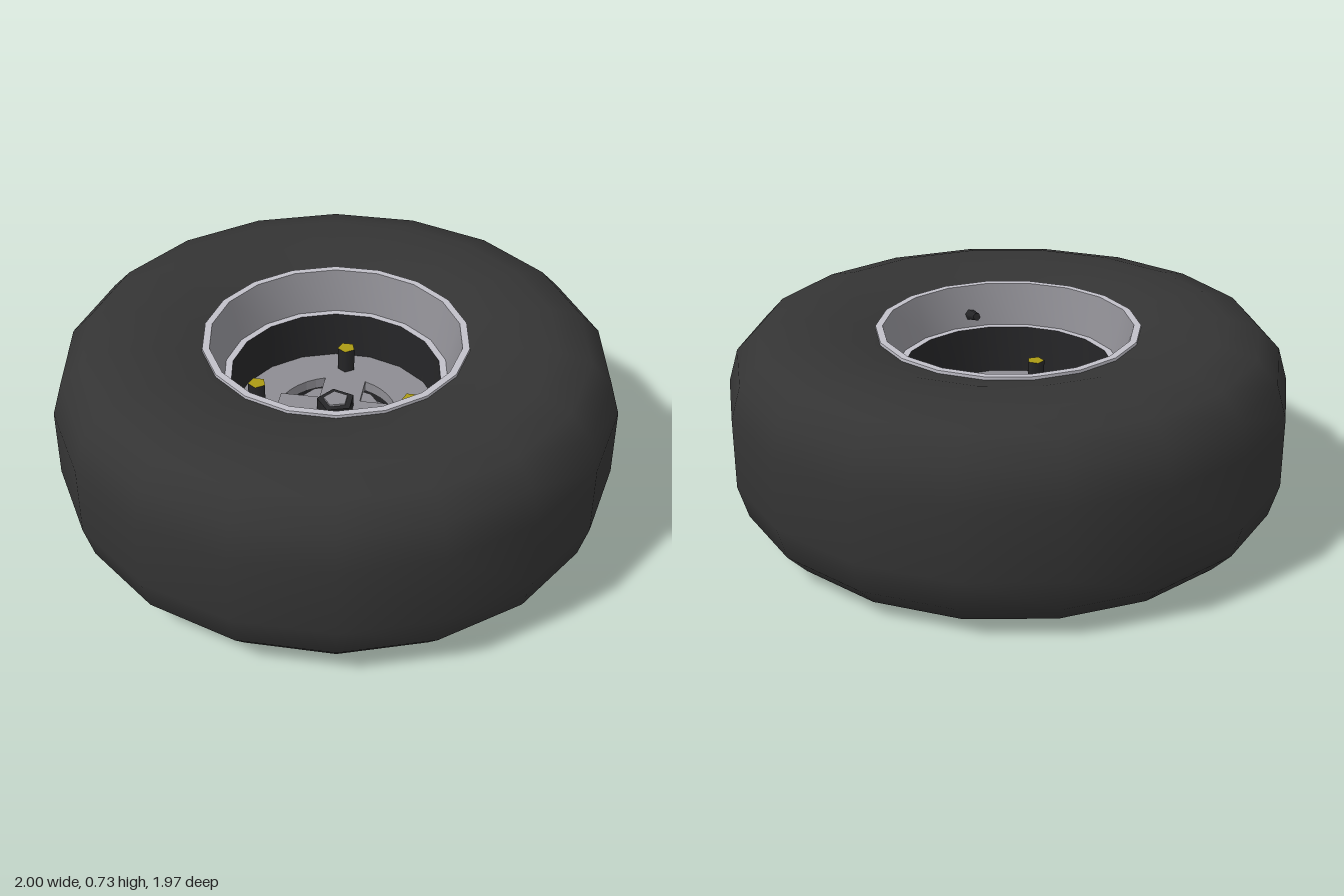
import * as THREE from 'three';
import { toCreasedNormals } from 'three/addons/utils/BufferGeometryUtils.js';

const SIDES = 18;
const MID = 0.3625; // half the tyre width: the wheel lies flat

const mat = (name, color) => {
  const m = new THREE.MeshStandardMaterial({ color });
  m.name = name;
  return m;
};

export function createModel() {
  const rubber = mat('rubber', 0x343434);
  const steel = mat('steel', 0x8d8c92);
  const lipSteel = mat('lipSteel', 0xc1c0c9);
  const black = mat('black', 0x262628);
  const brass = mat('brass', 0xab9a14);

  const wheel = new THREE.Group();
  wheel.name = 'wheel';

  const add = (name, geometry, material, x = 0, y = 0, z = 0) => {
    const mesh = new THREE.Mesh(geometry, material);
    mesh.name = name;
    mesh.position.set(x, y, z);
    wheel.add(mesh);
    return mesh;
  };
  const lathe = (profile) => new THREE.LatheGeometry(
    profile.map(([r, y]) => new THREE.Vector2(r, y)), SIDES, Math.PI / 2);
  const creasedLathe = (profile) => toCreasedNormals(lathe(profile), 0.6);
  const mirrored = (profile) => profile.map(([r, y]) => [r, 2 * MID - y]).reverse();

  // Tyre: rounded shoulders, mirrored about its middle
  const upper = [[1, 0.49], [0.965, 0.61], [0.89, 0.69], [0.77, 0.725], [0.6, 0.723], [0.455, 0.685]];
  add('tyre', lathe([...mirrored(upper), ...upper]), rubber);

  // Rim: the same flange, sloped wall and inner ledge on both sides
  const rimParts = [
    ['rimFlange', [[0.47, 0.67], [0.47, 0.7], [0.445, 0.7]], lipSteel],
    ['rimWall', [[0.445, 0.7], [0.4, 0.55]], steel],
    ['rimLedge', [[0.4, 0.55], [0.375, 0.55]], lipSteel],
  ];
  for (const [name, profile, material] of rimParts) {
    add(name + 'Upper', creasedLathe(profile), material);
    add(name + 'Lower', creasedLathe(mirrored(profile)), material);
  }
  add('rimBarrel', creasedLathe([[0.375, 0.55], [0.375, 2 * MID - 0.55]]), black);

  // Wheel disc with a central opening
  const disc = new THREE.Shape().absarc(0, 0, 0.38, 0, Math.PI * 2);
  disc.holes.push(new THREE.Path().absarc(0, 0, 0.218, 0, Math.PI * 2, true));
  const discGeometry = new THREE.ExtrudeGeometry(disc, { depth: 0.04, bevelEnabled: false, curveSegments: SIDES });
  discGeometry.rotateX(-Math.PI / 2);
  add('disc', discGeometry, steel, 0, 0.33, 0);

  // Cross arms bridging the opening
  add('crossArmX', new THREE.BoxGeometry(0.43, 0.04, 0.15), steel, -0.003, 0.354, 0);
  add('crossArmZ', new THREE.BoxGeometry(0.15, 0.038, 0.43), steel, 0, 0.354, 0);

  // Hub: steel cap above a dark axle sleeve
  add('hubCap', new THREE.CylinderGeometry(0.178, 0.178, 0.03, 10), steel, 0, 0.345, 0);
  add('hubSleeve', new THREE.CylinderGeometry(0.178, 0.185, 0.23, 10), black, 0, 0.215, 0);

  // Centre nut: a five-sided collar round a steel axle end
  add('axleCollar', new THREE.CylinderGeometry(0.07, 0.07, 0.05, 5), black, 0, 0.398, 0).rotation.y = -Math.PI / 2;
  add('axleEnd', new THREE.CylinderGeometry(0.046, 0.046, 0.008, 5), steel, 0, 0.426, 0).rotation.y = -Math.PI / 2;

  // Four studs with brass tops
  for (let i = 0; i < 4; i++) {
    const a = i * Math.PI / 2;
    const x = -0.01 + 0.281 * Math.cos(a), z = -0.005 + 0.281 * Math.sin(a);
    add('stud' + (i + 1), new THREE.CylinderGeometry(0.033, 0.033, 0.09, 5), [black, brass, black], x, 0.415, z);
  }

  // Valve leaning in from the rim wall
  const valve = add('valve', new THREE.CylinderGeometry(0.015, 0.022, 0.075, 6), black, 0.245, 0.6, 0.292);
  valve.quaternion.setFromUnitVectors(
    new THREE.Vector3(0, 1, 0), new THREE.Vector3(-0.65, 0.2, -0.7).normalize());

  return wheel;
}
